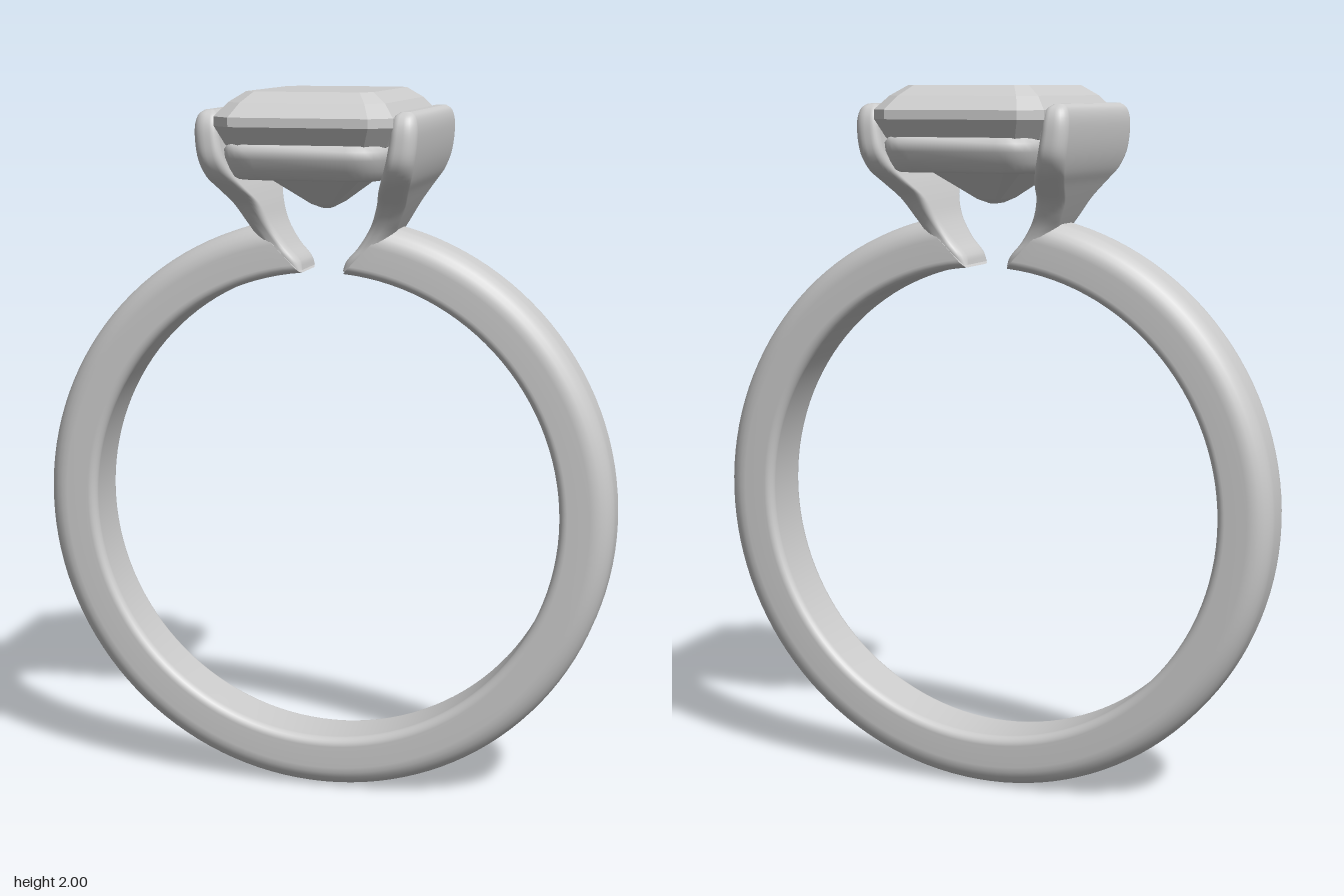
import * as THREE from 'three';

// Rounded rectangle as a loop of [a, b]; rPos / rNeg are corner radii on the +a / -a side
function roundedLoop(ha, hb, rPos, rNeg = rPos, n = 6) {
  const pts = [];
  [[1, 1], [-1, 1], [-1, -1], [1, -1]].forEach(([sa, sb], k) => {
    const r = sa > 0 ? rPos : rNeg;
    for (let i = 0; i <= n; i++) {
      const t = (k + i / n) * Math.PI / 2;
      pts.push([sa * (ha - r) + r * Math.cos(t), sb * (hb - r) + r * Math.sin(t)]);
    }
  });
  return pts;
}

// Skins a row of equal-length loops of Vector3, capped at both ends or joined into a closed band
function loft(loops, { closed = false, flat = false } = {}) {
  const n = loops[0].length, m = loops.length;
  const verts = loops.flat().map((p) => p.clone());
  const idx = [];
  for (let j = 0; j < (closed ? m : m - 1); j++) {
    for (let i = 0; i < n; i++) {
      const a = j * n + i, b = j * n + (i + 1) % n;
      const c = ((j + 1) % m) * n + i, d = ((j + 1) % m) * n + (i + 1) % n;
      idx.push(a, b, c, b, d, c);
    }
  }
  if (!closed) {
    [loops[0], loops[m - 1]].forEach((loop, end) => {
      const start = verts.length;
      const mid = loop.reduce((s, p) => s.add(p), new THREE.Vector3()).divideScalar(n);
      verts.push(...loop, mid);
      for (let i = 0; i < n; i++) {
        const a = start + i, b = start + (i + 1) % n;
        idx.push(...(end ? [a, b, start + n] : [b, a, start + n]));
      }
    });
  }
  // Turn the faces outward when the enclosed volume is negative
  let volume = 0;
  const cross = new THREE.Vector3();
  for (let i = 0; i < idx.length; i += 3) {
    volume += verts[idx[i]].dot(cross.crossVectors(verts[idx[i + 1]], verts[idx[i + 2]]));
  }
  if (volume < 0) idx.reverse();
  let geo = new THREE.BufferGeometry().setFromPoints(verts);
  geo.setIndex(idx);
  if (flat) geo = geo.toNonIndexed();
  geo.computeVertexNormals();
  return geo;
}

// Open band: the ends are cut on a slant, so the inner edge reaches further than the outer
function bandGeometry() {
  const section = roundedLoop(0.075, 0.095, 0.062, 0.025);
  const loops = [];
  for (let j = 0; j <= 120; j++) {
    const u = (j / 120) * 2 - 1;
    loops.push(section.map(([dr, z]) => {
      const r = 0.75 + dr;
      const endX = THREE.MathUtils.lerp(0.06, 0.19, (dr + 0.075) / 0.15);
      const a = u * (Math.PI - Math.asin(endX / r));
      return new THREE.Vector3(r * Math.sin(a), 0.825 - r * Math.cos(a), z);
    }));
  }
  return loft(loops);
}

// Shoulder that rises from the band and flares into a wide claw
function clawGeometry(side) {
  // inner x, inner y, outer x, outer y, half width in z
  const rows = [
    [0.058, 1.505, 0.12, 1.505, 0.085],
    [0.065, 1.53, 0.175, 1.555, 0.092],
    [0.10, 1.57, 0.20, 1.605, 0.094],
    [0.14, 1.63, 0.218, 1.64, 0.107],
    [0.165, 1.69, 0.243, 1.69, 0.142],
    [0.185, 1.735, 0.265, 1.735, 0.21],
    [0.205, 1.775, 0.283, 1.77, 0.26],
    [0.222, 1.82, 0.297, 1.815, 0.285],
    [0.232, 1.87, 0.305, 1.87, 0.288],
    [0.237, 1.912, 0.305, 1.915, 0.282],
    [0.243, 1.938, 0.297, 1.94, 0.268],
    [0.258, 1.951, 0.283, 1.951, 0.245],
  ];
  const inner = new THREE.CatmullRomCurve3(rows.map((r) => new THREE.Vector3(r[0], r[1], r[4])));
  const outer = new THREE.CatmullRomCurve3(rows.map((r) => new THREE.Vector3(r[2], r[3], 0)));
  const loops = [];
  for (let j = 0; j <= 44; j++) {
    const p = inner.getPoint(j / 44), q = outer.getPoint(j / 44);
    const half = Math.hypot(q.x - p.x, q.y - p.y) / 2;
    loops.push(roundedLoop(half, p.z, half * 0.95, half * 0.6).map(([a, z]) => {
      const t = (a / half + 1) / 2;
      return new THREE.Vector3(
        side * THREE.MathUtils.lerp(p.x, q.x, t), THREE.MathUtils.lerp(p.y, q.y, t), z);
    }));
  }
  return loft(loops);
}

// Rounded rail under the stone
function railGeometry() {
  // inset, y around the rail's closed profile
  const profile = [
    [0, 1.848], [0.003, 1.825], [0.02, 1.795], [0.036, 1.774], [0.05, 1.768], [0.064, 1.774],
    [0.07, 1.79], [0.062, 1.82], [0.05, 1.85], [0.035, 1.863], [0.015, 1.863],
  ];
  return loft(profile.map(([d, y]) =>
    roundedLoop(0.228 - d * 0.6, 0.33 - d, 0.1 - d * 0.5)
      .map(([x, z]) => new THREE.Vector3(x, y, z))), { closed: true });
}

// Step-cut stone: stacked rectangles with clipped corners
function stoneGeometry() {
  // half x, half z, corner cut, y
  const steps = [
    [0.012, 0.03, 0.005, 1.675], [0.035, 0.07, 0.012, 1.688], [0.13, 0.19, 0.035, 1.765],
    [0.222, 0.305, 0.05, 1.86], [0.245, 0.337, 0.055, 1.91], [0.245, 0.337, 0.055, 1.935],
    [0.215, 0.29, 0.045, 1.972], [0.175, 0.24, 0.03, 2.0],
  ];
  return loft(steps.map(([x, z, c, y]) => [
    [x, z - c], [x - c, z], [c - x, z], [-x, z - c],
    [-x, c - z], [c - x, -z], [x - c, -z], [x, c - z],
  ].map(([px, pz]) => new THREE.Vector3(px, y, pz))), { flat: true });
}

export function createModel() {
  const group = new THREE.Group();
  group.name = 'ring';
  const silver = new THREE.MeshStandardMaterial({ color: 0xcccccc });
  silver.name = 'silver grey';
  const add = (name, geometry) => {
    const mesh = new THREE.Mesh(geometry, silver);
    mesh.name = name;
    group.add(mesh);
  };
  add('band', bandGeometry());
  add('leftClaw', clawGeometry(1));
  add('rightClaw', clawGeometry(-1));
  add('stoneRail', railGeometry());
  add('stone', stoneGeometry());
  return group;
}
